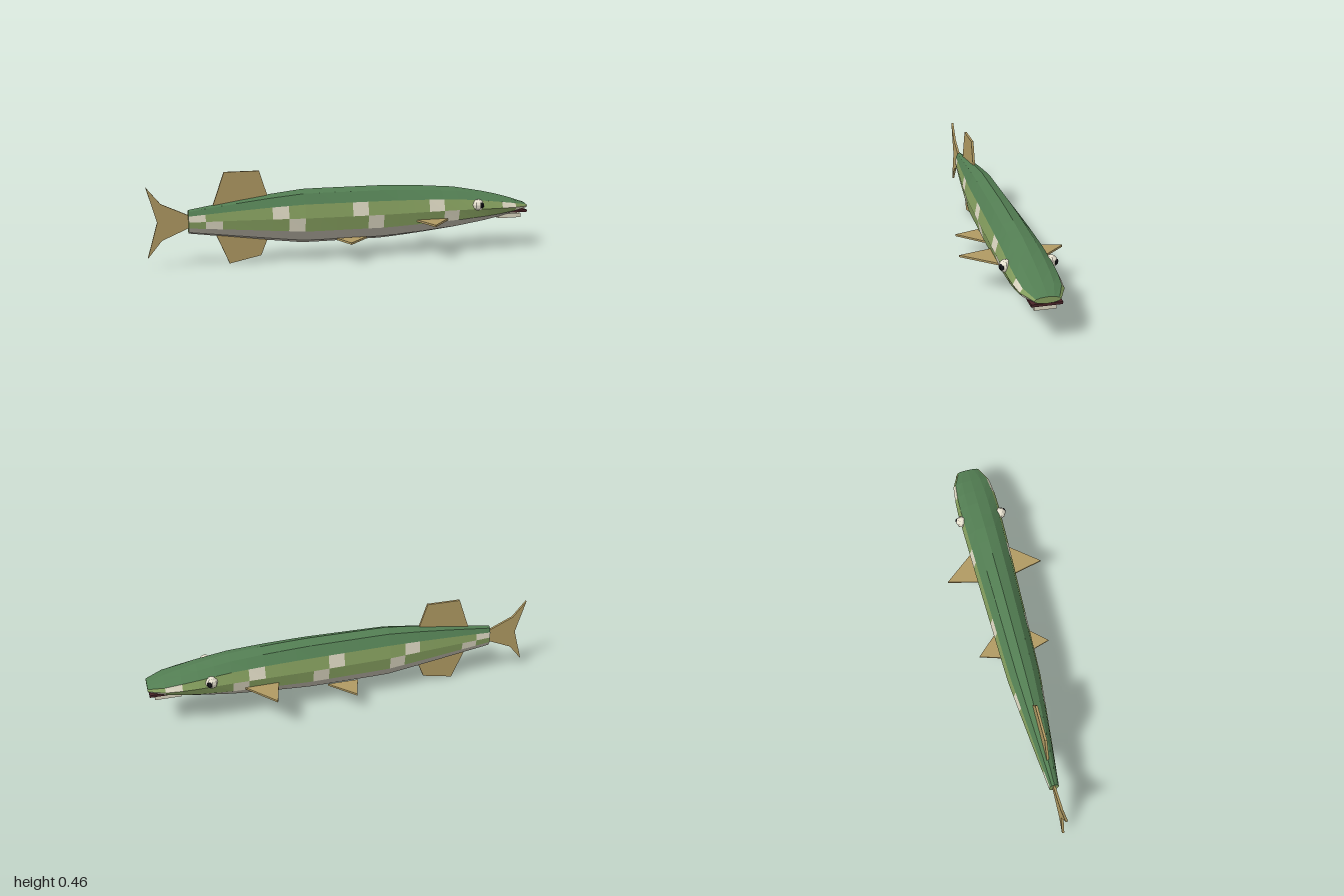
import * as THREE from 'three';

const mat = (color) => new THREE.MeshStandardMaterial({ color, flatShading: true });
const BACK = mat(0x527d52), FLANK = mat(0x86a05f), SPOT = mat(0xddd8c2), BELLY = mat(0xb9b4a6);
const FIN = mat(0xb09a62), DARK = mat(0x141418), MOUTH = mat(0x4a2428), EYE = mat(0xe8e2d0);

// Body stations: x, bottom y, top y, half width
const STATIONS = [
  [-0.8, 0.163, 0.28, 0.025], [-0.6, 0.135, 0.312, 0.047], [-0.4, 0.107, 0.34, 0.068],
  [-0.22, 0.084, 0.36, 0.085], [0.2, 0.084, 0.36, 0.098], [0.4, 0.1, 0.351, 0.104],
  [0.6, 0.12, 0.335, 0.109], [0.8, 0.154, 0.297, 0.113], [0.918, 0.185, 0.264, 0.1],
  [1, 0.205, 0.236, 0.06],
];
const COLS = 22, SIDES = 12;

function station(x) {
  let i = 0;
  while (i < STATIONS.length - 2 && x > STATIONS[i + 1][0]) i++;
  const a = STATIONS[i], b = STATIONS[i + 1], t = (x - a[0]) / (b[0] - a[0]);
  return a.map((v, j) => v + (b[j] - v) * t);
}

// Point k of the twelve-sided section in column i, starting at the top
function ringPoint(i, k) {
  const [x, low, high, w] = station(-0.8 + (1.8 * i) / COLS);
  const a = (k / SIDES) * Math.PI * 2;
  return [x, (low + high) / 2 + ((high - low) / 2) * Math.cos(a), w * Math.sin(a)];
}

// Lofted body, its faces sorted into colour bands and a checkered flank
function makeBody() {
  const bands = { back: [], flank: [], flankSpots: [], belly: [] };
  for (let i = 0; i < COLS; i++) {
    for (let k = 0; k < SIDES; k++) {
      const row = Math.min(k, SIDES - 1 - k);
      let band = row < 2 ? 'back' : row > 3 ? 'belly' : 'flank';
      if (band === 'flank' && i % 5 === row - 2) band = 'flankSpots';
      const a = ringPoint(i, k), b = ringPoint(i, k + 1);
      const c = ringPoint(i + 1, k + 1), d = ringPoint(i + 1, k);
      bands[band].push(...a, ...b, ...c, ...a, ...c, ...d);
    }
  }
  // Snout and tail caps
  for (let k = 0; k < SIDES; k++) {
    bands.flank.push(1, 0.2205, 0, ...ringPoint(COLS, k), ...ringPoint(COLS, k + 1));
    bands.flank.push(-0.8, 0.2215, 0, ...ringPoint(0, k + 1), ...ringPoint(0, k));
  }
  const body = new THREE.Group();
  body.name = 'body';
  const mats = { back: BACK, flank: FLANK, flankSpots: SPOT, belly: BELLY };
  for (const name in bands) {
    const geo = new THREE.BufferGeometry();
    geo.setAttribute('position', new THREE.Float32BufferAttribute(bands[name], 3));
    geo.computeVertexNormals();
    body.add(mesh(name, geo, mats[name]));
  }
  return body;
}

function mesh(name, geo, material, x = 0, y = 0, z = 0) {
  const m = new THREE.Mesh(geo, material);
  m.name = name;
  m.position.set(x, y, z);
  return m;
}

// Thin plate from an outline, centred on its own thickness
function plate(points, depth) {
  const shape = new THREE.Shape(points.map(([x, y]) => new THREE.Vector2(x, y)));
  return new THREE.ExtrudeGeometry(shape, { depth, bevelEnabled: false }).translate(0, 0, -depth / 2);
}

export function createModel() {
  const fish = new THREE.Group();
  fish.name = 'fish';
  fish.add(makeBody());

  // Upright fins
  const upright = {
    tailFin: [[-0.8, 0.255], [-0.93, 0.315], [-1, 0.4], [-0.95, 0.225], [-1, 0.05], [-0.93, 0.135], [-0.8, 0.19]],
    dorsalFin: [[-0.68, 0.29], [-0.4, 0.32], [-0.445, 0.46], [-0.62, 0.46]],
    analFin: [[-0.665, 0.15], [-0.6, 0], [-0.44, 0.032], [-0.4, 0.13]],
  };
  for (const name in upright) fish.add(mesh(name, plate(upright[name], 0.012), FIN));

  for (const s of [1, -1]) {
    const side = s > 0 ? 'Right' : 'Left';
    // Level paired fins
    const pectoral = plate([[0.36, s * 0.09], [0.535, s * 0.09], [0.4, s * 0.254]], 0.01);
    const pelvic = plate([[-0.06, s * 0.058], [0.1, s * 0.058], [-0.02, s * 0.187]], 0.01);
    fish.add(mesh('pectoralFin' + side, pectoral.rotateX(Math.PI / 2), FIN, 0, 0.18, 0));
    fish.add(mesh('pelvicFin' + side, pelvic.rotateX(Math.PI / 2), FIN, 0, 0.102, 0));
    // Eyes
    fish.add(mesh('eye' + side, new THREE.SphereGeometry(0.03, 8, 6), EYE, 0.695, 0.25, s * 0.106));
    fish.add(mesh('pupil' + side, new THREE.SphereGeometry(0.017, 8, 6), DARK, 0.704, 0.25, s * 0.121));
  }

  // Mouth slit and lower jaw
  fish.add(mesh('mouth', new THREE.BoxGeometry(0.1, 0.012, 0.14), MOUTH, 0.945, 0.197, 0));
  fish.add(mesh('lowerJaw', new THREE.BoxGeometry(0.13, 0.022, 0.1), SPOT, 0.905, 0.171, 0));
  return fish;
}
